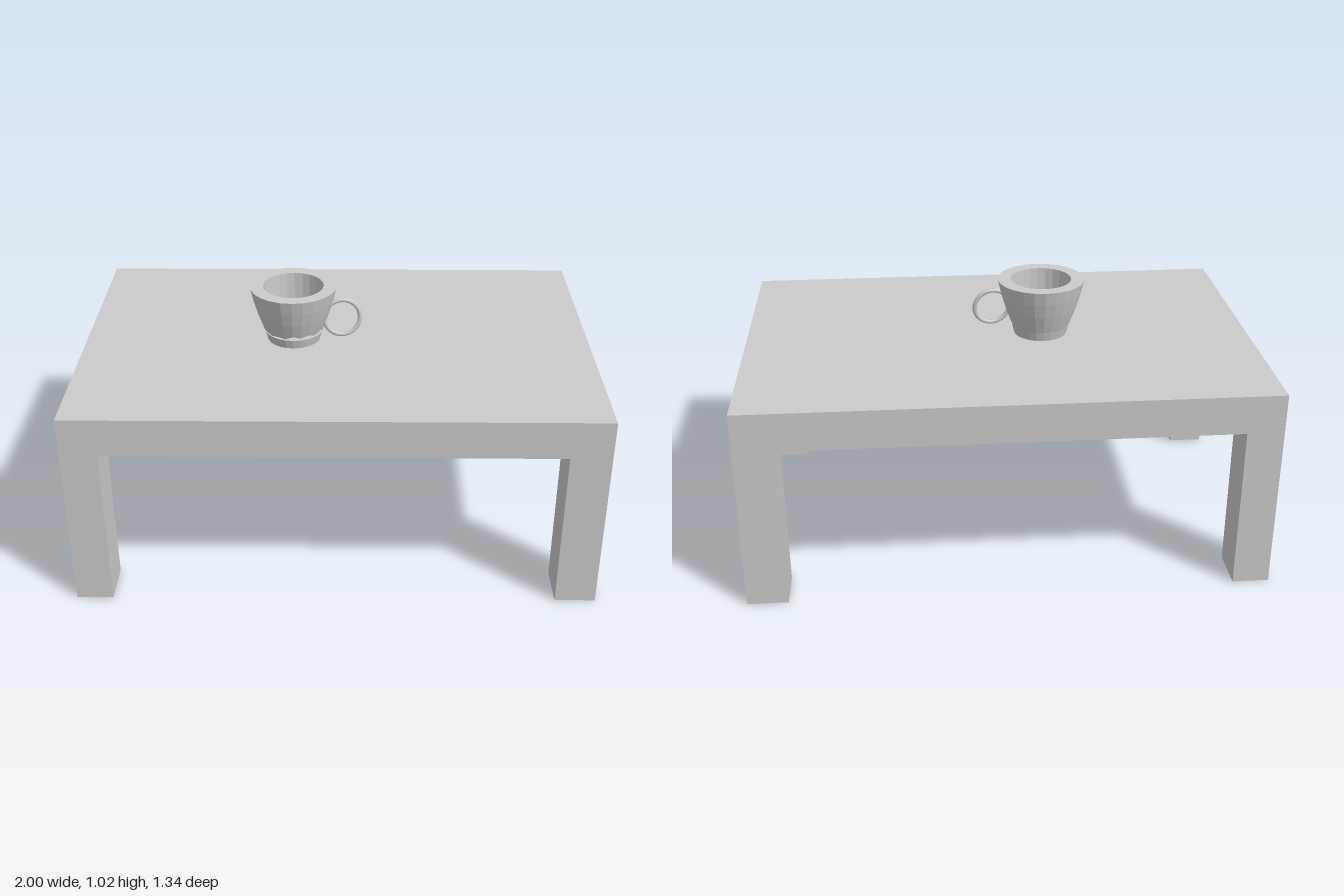
import * as THREE from 'three';

const grey = new THREE.MeshStandardMaterial({ color: 0xcccccc });
const faceted = new THREE.MeshStandardMaterial({ color: 0xcccccc, flatShading: true });

const TOP = 0.795, HALF_DEPTH = 0.67, LEG_DEPTH = 0.17;

function addMesh(parent, name, geometry, material = grey) {
  const mesh = new THREE.Mesh(geometry, material);
  mesh.name = name;
  parent.add(mesh);
  return mesh;
}

const profile = (points) => points.map(([r, y]) => new THREE.Vector2(r, y));

function createTable() {
  const table = new THREE.Group();
  table.name = 'table';

  // Two legs joined by a deep rail, cut as one arch for the front and back
  const arch = new THREE.Shape(profile([
    [-1, 0], [-0.86, 0], [-0.86, 0.645], [0.845, 0.645],
    [0.845, 0], [1, 0], [1, TOP], [-1, TOP],
  ]));
  const archGeometry = new THREE.ExtrudeGeometry(arch, { depth: LEG_DEPTH, bevelEnabled: false });
  addMesh(table, 'frontLegsAndRail', archGeometry).position.z = HALF_DEPTH - LEG_DEPTH;
  addMesh(table, 'backLegsAndRail', archGeometry).position.z = -HALF_DEPTH;

  // Thinner board between the two arches
  const board = new THREE.BoxGeometry(2, 0.085, 2 * (HALF_DEPTH - LEG_DEPTH));
  addMesh(table, 'tabletop', board).position.y = TOP - 0.0425;
  return table;
}

function createCup() {
  const cup = new THREE.Group();
  cup.name = 'cup';
  const segments = 24;

  // Foot below the cracked edge
  addMesh(cup, 'cupFoot', new THREE.LatheGeometry(
    profile([[0.105, 0], [0.115, 0.038], [0, 0.038]]), segments), faceted);

  // Outer wall, flat rim, inner wall and floor
  const body = new THREE.LatheGeometry(profile([
    [0.115, 0.038], [0.127, 0.07], [0.143, 0.115], [0.159, 0.17], [0.172, 0.225],
    [0.12, 0.225], [0.116, 0.07], [0, 0.07],
  ]), segments);

  // Chip the lower edge of the wall into a jagged crack around the front
  const position = body.attributes.position;
  const rows = 8;
  for (let i = 3; i < segments; i++) {
    const angle = (i / segments) * Math.PI * 2;
    const onFront = Math.cos(angle) > 0.05;
    if (!onFront) continue;
    const towardHandle = Math.max(0, Math.sin(angle));
    const lift = (i % 2 ? 0.006 : 0.012) + 0.008 * towardHandle;
    lowerEdge(i, lift);
  }
  for (let i = 0; i < 7; i++) lowerEdge(i, i % 2 ? 0.01 : 0.02);
  lowerEdge(segments, 0.02);

  function lowerEdge(i, lift) {
    const angle = (i / segments) * Math.PI * 2;
    const radius = 0.115 + lift * 0.375;
    position.setXYZ(i * rows, Math.sin(angle) * radius, 0.038 + lift, Math.cos(angle) * radius);
  }
  addMesh(cup, 'cupBody', body, faceted);

  // Ring handle, leaning slightly
  const handle = addMesh(cup, 'cupHandle', new THREE.TorusGeometry(0.071, 0.009, 8, 32));
  handle.position.set(0.193, 0.102, 0.03);
  handle.rotation.set(-0.13, 0.13, 0);

  cup.position.set(-0.173, TOP, 0);
  return cup;
}

export function createModel() {
  const model = new THREE.Group();
  model.name = 'tableWithCup';
  model.add(createTable(), createCup());
  return model;
}
